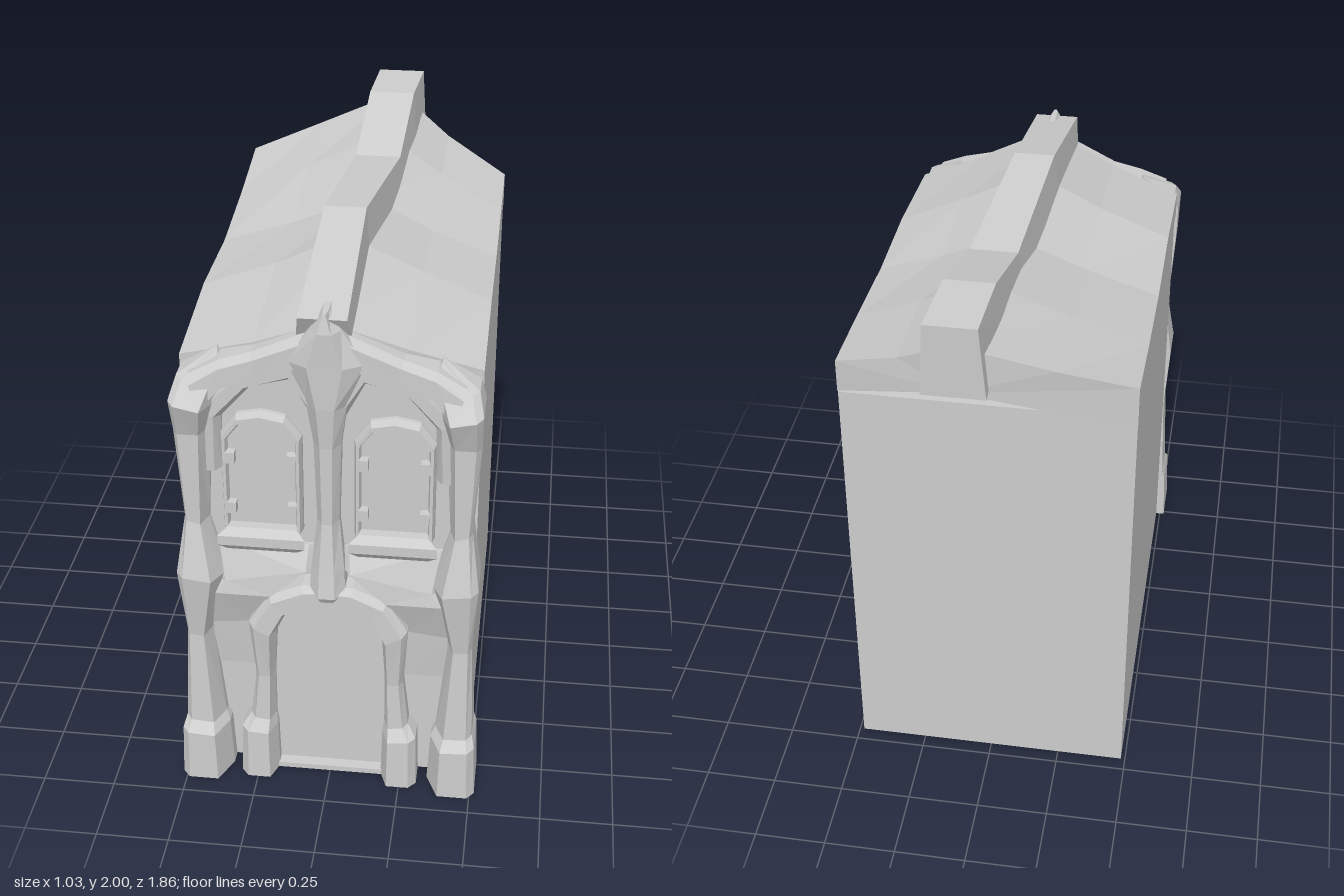
import * as THREE from 'three';

const stone = new THREE.MeshStandardMaterial({ color: 0xcccccc, flatShading: true });
stone.name = 'pale stone';

// Skin a list of equal-length rings, cap both ends and face everything outwards
function loft(rings) {
  const tris = [];
  const n = rings[0].length;
  for (let i = 0; i < rings.length - 1; i++) {
    for (let j = 0; j < n; j++) {
      const k = (j + 1) % n;
      const a = rings[i][j], b = rings[i][k], c = rings[i + 1][k], d = rings[i + 1][j];
      tris.push([a, b, c], [a, c, d]);
    }
  }
  const last = rings[rings.length - 1];
  for (let j = 1; j < n - 1; j++) {
    tris.push([rings[0][0], rings[0][j + 1], rings[0][j]], [last[0], last[j], last[j + 1]]);
  }
  const v = (p) => new THREE.Vector3(...p);
  const volume = tris.reduce((s, [a, b, c]) => s + v(a).dot(v(b).cross(v(c))), 0);
  const pos = tris.flatMap(([a, b, c]) => (volume < 0 ? [a, c, b] : [a, b, c])).flat();
  const geo = new THREE.BufferGeometry();
  geo.setAttribute('position', new THREE.Float32BufferAttribute(pos, 3));
  geo.computeVertexNormals();
  return geo;
}

// Bevelled band between an inner and an outer edge; rows are [xi, yi, xo, yo, zFront]
function band(rows, zBack, bevelIn, bevelOut, side = 1) {
  return loft(rows.map(([xi, yi, xo, yo, zf]) => {
    const at = (t, z) => [side * (xi + (xo - xi) * t), yi + (yo - yi) * t, z];
    return [at(0, zBack), at(0, (zBack + zf) / 2), at(bevelIn, zf), at(1 - bevelOut, zf), at(1, zf - 0.03), at(1, zBack)];
  }));
}

function plate(points, z0, z1) {
  const shape = new THREE.Shape(points.map(([x, y]) => new THREE.Vector2(x, y)));
  return new THREE.ExtrudeGeometry(shape, { depth: z1 - z0, bevelEnabled: false }).translate(0, 0, z0);
}

const mirrored = (pts) => [...pts, ...pts.slice().reverse().filter(([x]) => x !== 0).map(([x, y]) => [-x, y])];

export function createModel() {
  const group = new THREE.Group();
  const add = (name, geo, parent = group) => {
    const mesh = new THREE.Mesh(geo, stone);
    mesh.name = name;
    parent.add(mesh);
    return mesh;
  };

  // House block, its top rising slightly to the back
  const block = (z, top) => [[-0.485, 0, z], [0.485, 0, z], [0.485, top, z], [-0.485, top, z]];
  add('body', loft([block(0.74, 1.5), block(-0.7, 1.56)]));

  // Sagging roof slab: left/right eave z, ridge z, eave bottom, left/right eave top, ridge top, ridge x
  const roof = [
    [0.72, 0.72, 0.8, 1.5, 1.59, 1.59, 1.77, 0],
    [0.3, 0.3, 0.32, 1.52, 1.64, 1.63, 1.85, 0],
    [-0.08, -0.05, -0.08, 1.535, 1.63, 1.63, 1.82, 0.03],
    [-0.45, -0.4, -0.5, 1.55, 1.67, 1.66, 1.9, 0.05],
    [-0.76, -0.7, -0.91, 1.565, 1.72, 1.68, 1.92, 0.06],
  ];
  add('roof', loft(roof.map(([zl, zr, zc, eb, tl, tr, rt, cx]) => [
    [cx, rt - 0.17, zc], [-0.49, eb, zl], [-0.49, tl, zl],
    [-0.24, (tl + rt) / 2 - 0.012, (zl + zc) / 2], [cx, rt, zc],
    [0.26, (tr + rt) / 2 - 0.012, (zr + zc) / 2], [0.487, tr, zr], [0.487, eb, zr],
  ])));

  // Crooked ridge beam: z top, z bottom, x left, x right, y top, y bottom
  const ridge = [
    [0.86, 0.77, -0.085, 0.07, 1.81, 1.66],
    [0.29, 0.32, -0.075, 0.065, 1.94, 1.77],
    [-0.3, -0.28, -0.04, 0.12, 1.89, 1.74],
    [-0.67, -0.62, -0.03, 0.135, 2, 1.82],
    [-0.93, -0.92, -0.02, 0.15, 2, 1.74],
  ];
  add('ridgeBeam', loft(ridge.map(([zt, zb, x0, x1, yt, yb]) => [
    [x0 - 0.02, yb, zb], [x0, yt, zt], [x1, yt, zt], [x1 + 0.015, yb, zb],
  ])));

  // Facade wall behind the relief work
  add('facadeWall', plate(mirrored([[0.46, 0], [0.46, 1.52], [0.36, 1.62], [0.12, 1.7], [0, 1.76]]), 0.73, 0.785));

  // Door with rounded head, and its threshold
  add('door', plate(mirrored([[0.19, 0], [0.19, 0.6], [0.15, 0.69], [0.07, 0.74]]), 0.78, 0.8));
  add('threshold', new THREE.BoxGeometry(0.37, 0.02, 0.1).translate(0, 0.01, 0.79));

  for (const side of [1, -1]) {
    const half = new THREE.Group();
    half.name = side > 0 ? 'leftFacade' : 'rightFacade';
    group.add(half);

    // Wavy corner pillar with a heavy foot and an inward-leaning head
    add('cornerPillar', band([
      [0.345, 0, 0.517, 0, 0.93], [0.355, 0.19, 0.51, 0.2, 0.928],
      [0.37, 0.22, 0.5, 0.23, 0.89], [0.405, 0.58, 0.487, 0.59, 0.87],
      [0.345, 0.83, 0.503, 0.85, 0.91], [0.4, 1.03, 0.475, 1.05, 0.862],
      [0.38, 1.38, 0.495, 1.38, 0.87], [0.36, 1.48, 0.497, 1.51, 0.915],
      [0.33, 1.55, 0.48, 1.57, 0.85], [0.33, 1.6, 0.36, 1.64, 0.77],
    ], 0.735, 0.25, 0.15, side), half);

    // Slanting cornice under the roof
    add('cornice', band([
      [0.4, 1.45, 0.44, 1.585, 0.87], [0.33, 1.53, 0.345, 1.63, 0.85],
      [0.22, 1.57, 0.24, 1.66, 0.84], [0.05, 1.62, 0.05, 1.75, 0.85],
    ], 0.72, 0.15, 0.2, side), half);

    // Arched brow over the window
    add('windowBrow', band([
      [0.35, 1.22, 0.42, 1.22, 0.82], [0.345, 1.42, 0.41, 1.46, 0.84],
      [0.25, 1.53, 0.29, 1.58, 0.84], [0.12, 1.565, 0.12, 1.65, 0.84],
      [0.05, 1.43, 0.02, 1.53, 0.84],
    ], 0.76, 0.3, 0.1, side), half);

    // Faceted swelling between pillar, sill and door arch
    add('wallSwell', band([
      [0.24, 0.42, 0.42, 0.42, 0.79], [0.25, 0.62, 0.42, 0.6, 0.81],
      [0.17, 0.76, 0.4, 0.76, 0.86], [0.04, 0.87, 0.38, 0.8, 0.85],
      [0.03, 0.94, 0.41, 0.95, 0.8],
    ], 0.76, 0.1, 0.1, side), half);

    // Door jamb rising into half of the arch
    add('doorSurround', band([
      [0.18, 0, 0.31, 0, 0.9], [0.185, 0.19, 0.305, 0.2, 0.895],
      [0.19, 0.23, 0.275, 0.24, 0.865], [0.19, 0.42, 0.255, 0.42, 0.86],
      [0.18, 0.6, 0.27, 0.65, 0.885], [0.14, 0.685, 0.2, 0.76, 0.88],
      [0.065, 0.73, 0.085, 0.81, 0.88], [0, 0.735, 0, 0.815, 0.88],
    ], 0.76, 0.2, 0.2, side), half);

    // Window: shutter panel, raised frame, sill and hinges
    const win = new THREE.Group();
    win.name = 'window';
    win.position.x = side * 0.217;
    half.add(win);
    add('shutter', plate(mirrored([[0.115, 1], [0.115, 1.34], [0.07, 1.4], [0.03, 1.41]]), 0.78, 0.805), win);
    for (const s of [1, -1]) {
      add('windowFrame', band([
        [0.108, 1, 0.132, 1, 0.83], [0.108, 1.34, 0.132, 1.36, 0.83],
        [0.067, 1.395, 0.08, 1.43, 0.83], [0, 1.41, 0, 1.445, 0.83],
      ], 0.77, 0.3, 0.3, s), win);
      for (const y of [1.09, 1.28]) {
        add('hinge', new THREE.BoxGeometry(0.03, 0.04, 0.04).translate(s * 0.1, y, 0.815), win);
      }
    }
    add('sill', loft([[-0.145, -0.115], [0.145, 0.115]].map(([x, xt]) => [
      [xt, 0.94, 0.76], [xt, 0.94, 0.85], [x, 0.965, 0.87], [x, 1, 0.87], [xt, 1.02, 0.84], [xt, 1.02, 0.76],
    ])), win);
  }

  // Central keel: slim stem flaring into a pointed head; half width, y, front z
  const keel = [
    [0.035, 0.75, 0.87], [0.06, 0.79, 0.895], [0.055, 0.88, 0.88], [0.037, 1.06, 0.855],
    [0.045, 1.35, 0.86], [0.065, 1.5, 0.875], [0.125, 1.65, 0.88], [0.05, 1.77, 0.885], [0.01, 1.83, 0.87],
  ];
  add('centralKeel', loft(keel.map(([w, y, z]) => [
    [-w, y, 0.75], [-w, y, z - 0.04], [-w * 0.45, y, z], [w * 0.45, y, z], [w, y, z - 0.04], [w, y, 0.75],
  ])));

  return group;
}
